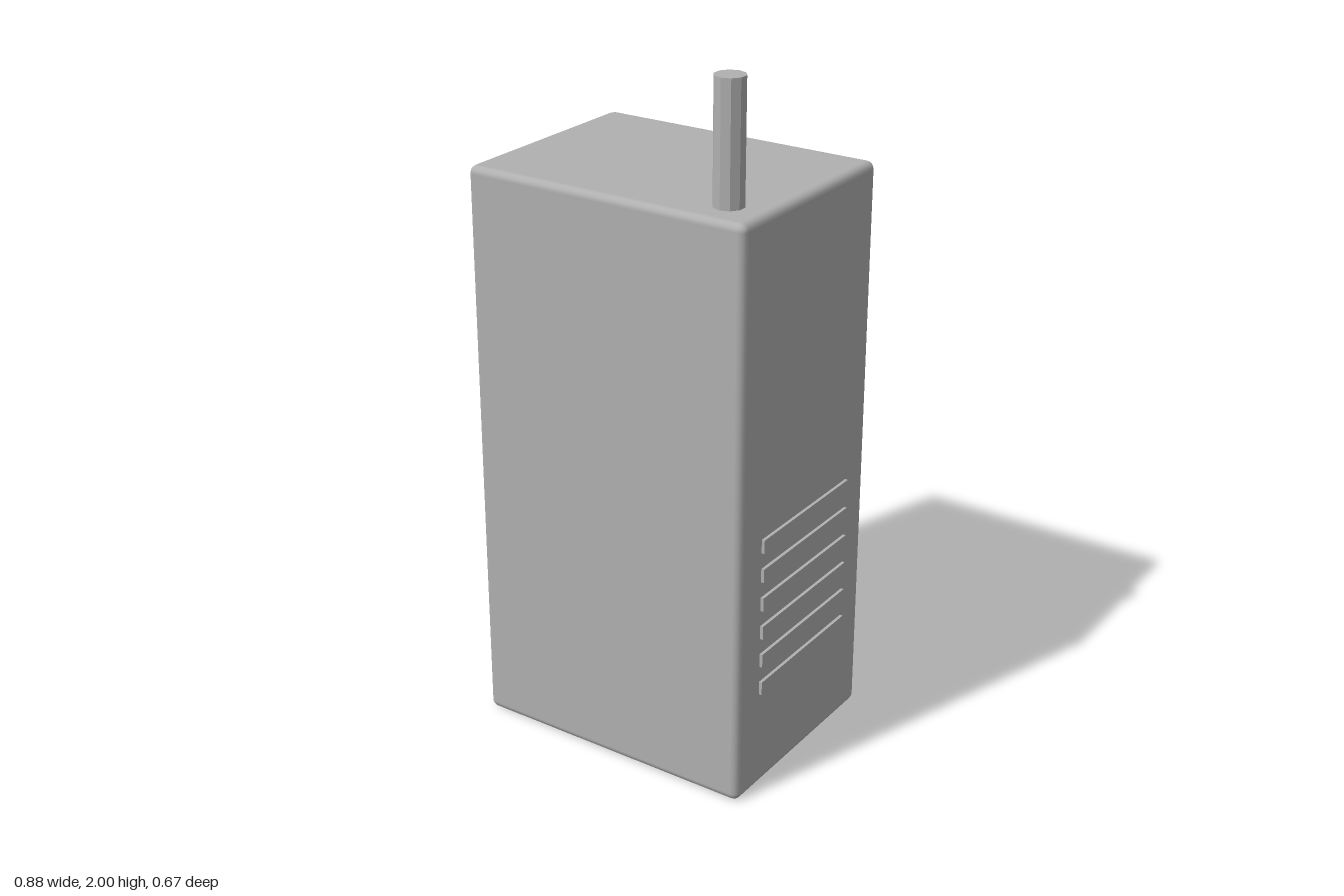
import * as THREE from 'three';
import { RoundedBoxGeometry } from 'three/addons/geometries/RoundedBoxGeometry.js';

const grey = new THREE.MeshStandardMaterial({ color: 0xb0b0b0 });
grey.name = 'grey plastic';

const BACK = -0.316; // rear face of the body
const SIDE = 0.428; // vented side of the body
const SINK = 0.008; // how far raised details reach into the body

function add(parent, name, geometry, x, y, z) {
  const mesh = new THREE.Mesh(geometry, grey);
  mesh.name = name;
  mesh.position.set(x, y, z);
  parent.add(mesh);
  return mesh;
}

// Plate raised from the rear face, given by its x and y range and outer z
function backPlate(parent, name, x0, x1, y0, y1, z) {
  const depth = BACK + SINK - z;
  add(parent, name, new THREE.BoxGeometry(x1 - x0, y1 - y0, depth),
    (x0 + x1) / 2, (y0 + y1) / 2, z + depth / 2);
}

export function createModel() {
  const model = new THREE.Group();
  model.name = 'handheldRadio';

  // Case with softly rounded edges
  add(model, 'body', new RoundedBoxGeometry(0.866, 1.667, 0.648, 2, 0.022), -0.005, 0.8335, 0.008);

  // Stub antenna
  const antenna = new THREE.CylinderGeometry(0.042, 0.042, 0.36, 10).toNonIndexed();
  antenna.computeVertexNormals();
  add(model, 'antenna', antenna, 0.313, 1.82, 0.225);

  // Screen in its frame
  backPlate(model, 'screenFrame', -0.325, 0.313, 1.02, 1.48, -0.33);
  backPlate(model, 'screen', -0.305, 0.293, 1.04, 1.46, -0.334);

  // Keypad, three rows of six
  const keypad = new THREE.Group();
  keypad.name = 'keypad';
  model.add(keypad);
  for (let row = 0; row < 3; row++) {
    for (let col = 0; col < 6; col++) {
      const x = -0.269 + col * 0.096;
      const y = 0.929 - row * 0.0745;
      backPlate(keypad, 'key', x - 0.029, x + 0.029, y - 0.024, y + 0.024, -0.336);
    }
  }

  // Upright strip low on the rear face
  backPlate(model, 'rearStrip', -0.367, -0.305, 0.122, 0.582, -0.334);

  // Side vent ribs
  const vents = new THREE.Group();
  vents.name = 'sideVents';
  model.add(vents);
  const rib = new THREE.BoxGeometry(0.009 + SINK, 0.04, 0.435);
  for (let i = 0; i < 6; i++) {
    add(vents, 'ventRib', rib, SIDE + (0.009 - SINK) / 2, 0.315 + i * 0.087, 0.008);
  }

  return model;
}
